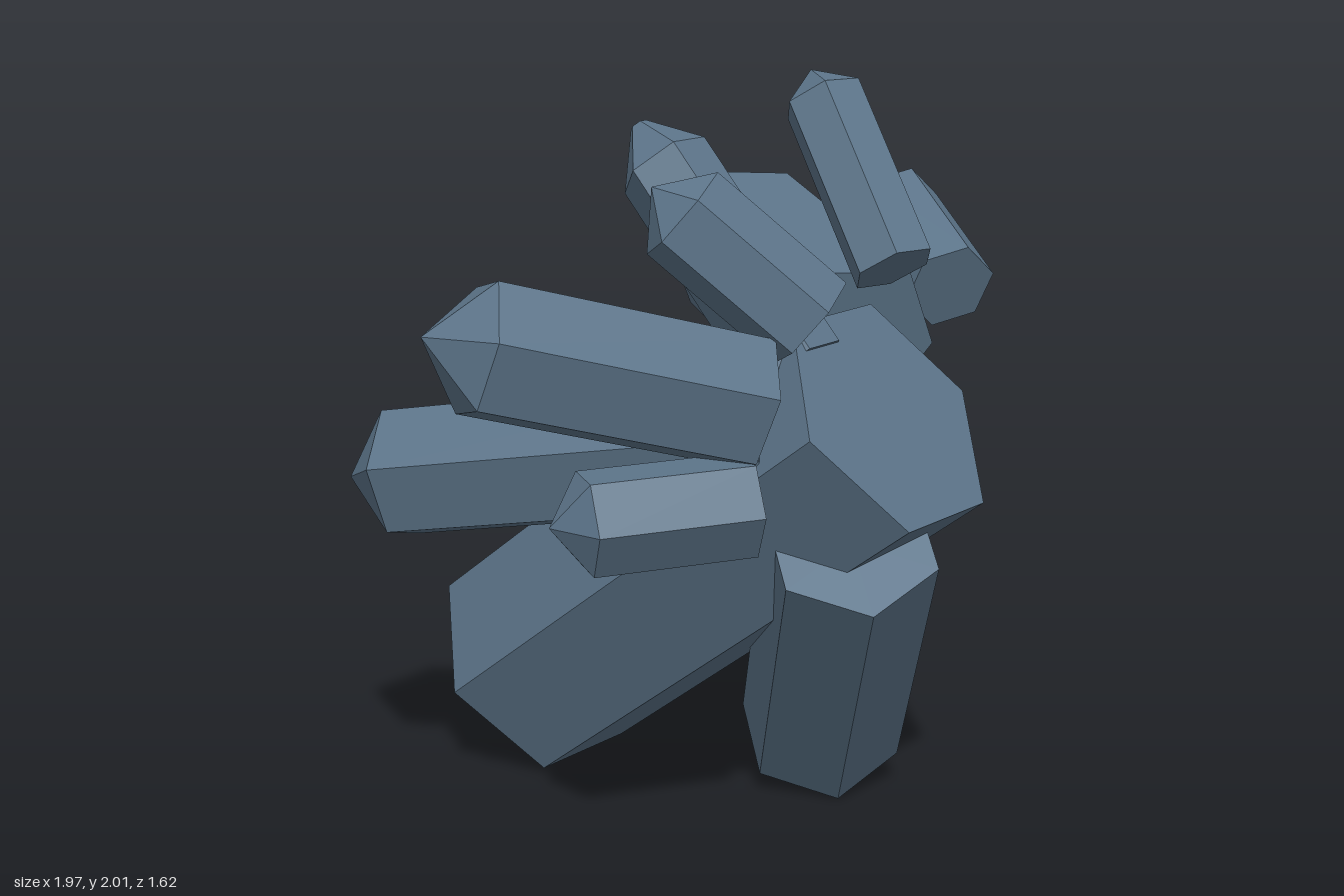
import * as THREE from 'three';

// One row per crystal: base centre, axis direction, shaft length, radius,
// point height, direction of one corner, radius of the blunt tip
const CRYSTALS = [
  { name: 'trunkCrystal', base: [0.025, 1.19, 0.63], dir: [0, -0.605, -0.796], length: 1.54, radius: 0.345, point: 0.27, corner: [1, 0, 0] },
  { name: 'lowerFrontCrystal', base: [-0.08, 0.87, 0.595], dir: [0.45, -0.785, -0.42], length: 0.92, radius: 0.23, point: 0.17, corner: [-0.115, -0.14, 0.15] },
  { name: 'lowerLeftCrystal', base: [0.325, 1.02, 0.42], dir: [0.61, -0.28, -0.74], length: 0.92, radius: 0.14, point: 0.14, corner: [-0.015, -0.14, 0.05] },
  { name: 'backCrystal', base: [-0.145, 1.12, 0.41], dir: [-0.3, -0.17, -0.94], length: 1.1, radius: 0.19, point: 0.16, corner: [0.06, -0.18, 0.035] },
  { name: 'upperRightCrystal', base: [-0.29, 1.25, 0.43], dir: [-0.81, 0.26, -0.526], length: 0.72, radius: 0.18, point: 0.14, corner: [0.013, 0.17, 0.064] },
  { name: 'lowerRightCrystal', base: [-0.355, 1.01, 0.47], dir: [-0.83, -0.03, -0.55], length: 0.42, radius: 0.135, point: 0.09, corner: [-0.55, 0, 0.83] },
  { name: 'upperLeftCrystal', base: [0.26, 1.3, 0.365], dir: [0.44, 0.23, -0.87], length: 0.75, radius: 0.235, point: 0.15, corner: [-0.12, 0.22, 0] },
  { name: 'smallLeftCrystal', base: [0.5, 1.435, 0.5], dir: [0.52, 0.37, -0.775], length: 0.43, radius: 0.125, point: 0.09, corner: [0, 1, 0.48] },
  { name: 'tallTopCrystal', base: [0.195, 1.53, 0.52], dir: [0.167, 0.8, -0.57], length: 0.51, radius: 0.112, point: 0.09, corner: [1, 0, 0.29] },
  { name: 'middleTopCrystal', base: [-0.083, 1.3, 0.42], dir: [0, 0.74, -0.67], length: 0.65, radius: 0.1275, point: 0.13, corner: [1, 0, 0], blunt: 0.025 },
  { name: 'smallRightCrystal', base: [-0.15, 1.44, 0.505], dir: [-0.45, 0.65, -0.61], length: 0.42, radius: 0.135, point: 0.1, corner: [0.3, 0.6, 0.42] },
];

// Six-sided prism with a pointed end, turned so one corner faces `corner`
function makeCrystal({ name, base, dir, length, radius, point, corner, blunt = 0 }, material) {
  const profile = [[0, 0], [radius, 0], [radius, length], [blunt, length + point]];
  if (blunt) profile.push([0, length + point]);
  const geometry = new THREE.LatheGeometry(profile.map(([r, y]) => new THREE.Vector2(r, y)), 6);

  const axis = new THREE.Vector3(...dir).normalize();
  const side = new THREE.Vector3().crossVectors(axis, new THREE.Vector3(...corner)).normalize();
  const front = new THREE.Vector3().crossVectors(side, axis);

  const mesh = new THREE.Mesh(geometry, material);
  mesh.name = name;
  mesh.quaternion.setFromRotationMatrix(new THREE.Matrix4().makeBasis(side, axis, front));
  mesh.position.set(...base);
  return mesh;
}

export function createModel() {
  const model = new THREE.Group();
  model.name = 'crystalCluster';
  const material = new THREE.MeshStandardMaterial({ color: 0x5c7489, flatShading: true });
  for (const crystal of CRYSTALS) model.add(makeCrystal(crystal, material));
  return model;
}
